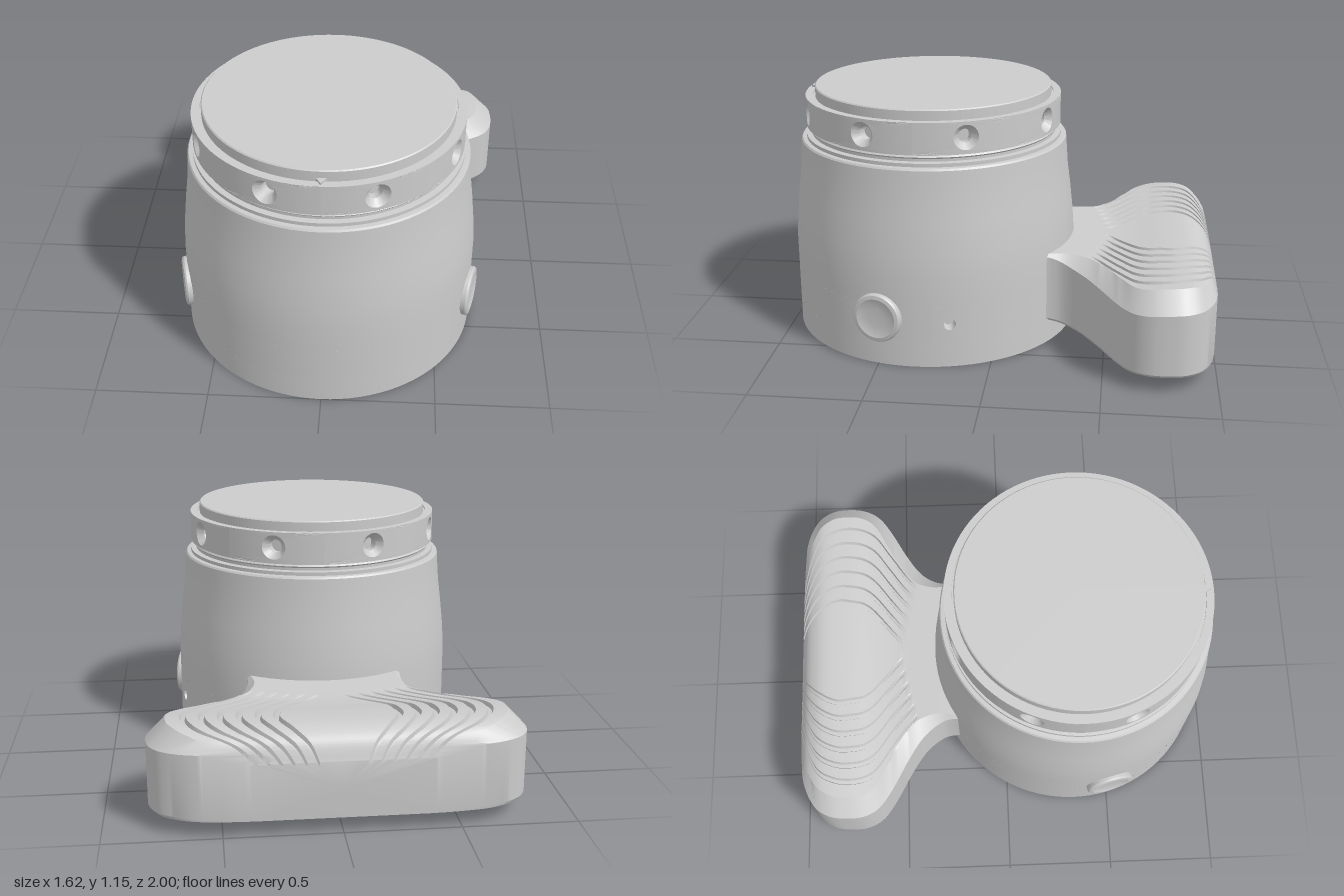
import * as THREE from 'three';
import { toCreasedNormals } from 'three/addons/utils/BufferGeometryUtils.js';

const material = new THREE.MeshStandardMaterial({ color: 0xcccccc });
const V2 = (p) => new THREE.Vector2(p[0], p[1]);

function part(name, geometry, parent, crease = 0.5) {
  const mesh = new THREE.Mesh(toCreasedNormals(geometry, crease), material);
  mesh.name = name;
  parent.add(mesh);
  return mesh;
}

function indexed(positions, index) {
  const g = new THREE.BufferGeometry();
  g.setAttribute('position', new THREE.Float32BufferAttribute(positions, 3));
  g.setIndex(index);
  return g;
}

const lathe = (points, segments = 96, start = 0, length = Math.PI * 2) =>
  new THREE.LatheGeometry(points.map(V2), segments, start, length);

// Curved wall patch with a bore: loops run from the rectangle to the hole, then inward.
function boredPatch(R, phi, y, halfAngle, halfHeight, bore) {
  const n = 10, K = 4 * n, pos = [], idx = [];
  const blends = [0, 0.25, 0.5, 0.75].map((t) => [t, bore[0][0], 0]);
  const loops = [...blends, ...bore.map(([r, d]) => [1, r, d])];
  for (const [t, r, depth] of loops) {
    for (let k = 0; k < K; k++) {
      const q = Math.floor(k / n), p = (2 * (k % n)) / n - 1;
      const [sx, sy] = [[1, p], [-p, 1], [-1, -p], [p, -1]][q];
      const a = (q * Math.PI) / 2 + (p * Math.PI) / 4;
      const s = THREE.MathUtils.lerp(sx * halfAngle * R, r * Math.cos(a), t);
      const h = THREE.MathUtils.lerp(sy * halfHeight, r * Math.sin(a), t);
      const ang = phi + s / R, rad = R - depth;
      pos.push(rad * Math.sin(ang), y + h, rad * Math.cos(ang));
    }
  }
  for (let l = 0; l < loops.length - 1; l++) {
    for (let k = 0; k < K; k++) {
      const a = l * K + k, b = l * K + ((k + 1) % K);
      idx.push(a, b, b + K, a, b + K, a + K);
    }
  }
  // Floor of the bore
  const last = (loops.length - 1) * K, rad = R - bore[bore.length - 1][1];
  pos.push(rad * Math.sin(phi), y, rad * Math.cos(phi));
  for (let k = 0; k < K; k++) idx.push(last + k, last + ((k + 1) % K), loops.length * K);
  return indexed(pos, idx);
}

// Smooth lookup of a value along falling z, from a few [z, value] points.
function along(points) {
  const c = new THREE.SplineCurve(points.map(V2)).getPoints(120);
  return (z) => {
    if (z >= c[0].x) return c[0].y;
    for (let i = 1; i < c.length; i++) {
      if (z >= c[i].x) {
        const t = (z - c[i - 1].x) / (c[i].x - c[i - 1].x || 1);
        return THREE.MathUtils.lerp(c[i - 1].y, c[i].y, t);
      }
    }
    return c[c.length - 1].y;
  };
}

// Flared handle: one closed cross-section per z, with columns following the grip grooves.
function handleGeometry() {
  const outline = new THREE.SplineCurve([
    [0.37, -0.15], [0.355, -0.25], [0.37, -0.32], [0.43, -0.4], [0.53, -0.47], [0.68, -0.555],
    [0.765, -0.62], [0.805, -0.7], [0.808, -0.8], [0.79, -0.87], [0.74, -0.93], [0.64, -0.975],
    [0.5, -0.994], [0.38, -1]].map(V2));
  const crown = along([[-0.15, 0.44], [-0.3, 0.435], [-0.5, 0.425], [-0.62, 0.43], [-0.75, 0.447],
    [-0.86, 0.45], [-0.92, 0.435], [-0.97, 0.395], [-1, 0.32]]);
  const edge = along([[-0.15, 0.43], [-0.25, 0.42], [-0.4, 0.37], [-0.6, 0.35], [-0.8, 0.362], [-1, 0.365]]);
  const floor = along([[-0.15, 0.12], [-0.25, 0.105], [-0.4, 0.075], [-0.5, 0.07], [-1, 0.07]]);
  const inner = along([[-0.44, 0.025], [-0.5, 0.05], [-0.65, 0.22], [-0.75, 0.255], [-0.83, 0.255],
    [-0.92, 0.2], [-1, 0.11]]);
  const outer = along([[-0.3, 0.29], [-0.43, 0.34], [-0.55, 0.5], [-0.63, 0.61], [-0.72, 0.65],
    [-0.83, 0.64], [-0.92, 0.57], [-1, 0.36]]);
  const rows = 150, pos = [], idx = [];
  let N = 0;
  for (let j = 0; j <= rows; j++) {
    const { x: w, y: z } = outline.getPointAt(j / rows);
    const slope = 1.05 * Math.max(0.15, Math.abs(outline.getTangentAt(j / rows).y));
    const top = crown(z), rim = Math.min(edge(z), top), low = floor(z);
    const height = (x) => Math.min(top, rim + (w - x) * slope);
    const side = [];
    const a = inner(z), gap = (outer(z) - a) / 5, h = 0.19 * gap;
    for (let i = 0; i < 6; i++) {
      const x = a + i * gap;
      const depth = 0.018 * THREE.MathUtils.clamp((-0.49 + 0.014 * i - z) / 0.1, 0, 1);
      for (const [o, d] of [[-h, 0], [-h * 0.6, depth], [h * 0.6, depth], [h, 0]]) {
        side.push([x + o, height(x + o) - d]);
      }
    }
    const end = side[side.length - 1][0];
    const bevel = Math.max(end + (w - end) * 0.1, w - (top - rim) / slope);
    side.push([bevel, height(bevel)], [w, rim], [w, low + 0.015], [w - 0.015, low]);
    const ring = [...side.map(([x, y]) => [-x, y]).reverse(), [0, top], ...side];
    N = ring.length;
    for (const [x, y] of ring) pos.push(x, y, z);
  }
  for (let j = 0; j < rows; j++) {
    for (let i = 0; i < N; i++) {
      const p = j * N + i, q = j * N + ((i + 1) % N);
      idx.push(p, q, q + N, p, q + N, p + N);
    }
  }
  // Flat rear end
  pos.push(0, 0.2, -1);
  for (let i = 0; i < N; i++) idx.push((rows + 1) * N, rows * N + i, rows * N + ((i + 1) % N));
  return indexed(pos, idx);
}

export function createModel() {
  const model = new THREE.Group();
  model.name = 'roundHousingWithHandle';
  const housing = new THREE.Group();
  housing.name = 'housing';
  housing.position.z = 0.333;
  model.add(housing);

  // Barrel: bottom rim, drilled band and tapered shell with stepped neck
  const R = 0.667, pinAngle = 1.81, pinHalf = 0.12;
  part('bottomRim', lathe([[0.64, 0.1], [0.64, 0], [R, 0], [R, 0.12]]), housing);
  part('lowerBand', lathe([[R, 0.12], [R, 0.29]], 96, pinAngle + pinHalf, Math.PI * 2 - 2 * pinHalf), housing);
  part('pinHole', boredPatch(R, pinAngle, 0.205, pinHalf, 0.085, [[0.027, 0], [0.027, 0.06]]), housing);
  part('barrel', lathe([[R, 0.29], [R, 0.42], [0.66, 0.53], [0.646, 0.66], [0.633, 0.76], [0.625, 0.87],
    [0.623, 0.9], [0.617, 0.908], [0.598, 0.91], [0.598, 0.926], [0.572, 0.928], [0.572, 0.94],
    [0.578, 0.947], [0.572, 0.954], [0.572, 0.965], [0.595, 0.965]]), housing);

  // Collar with eight countersunk holes
  for (let i = 0; i < 8; i++) {
    part('collarSegment', boredPatch(0.595, ((i + 0.5) * Math.PI) / 4, 1.035, Math.PI / 8, 0.07,
      [[0.056, 0], [0.031, 0.03], [0.031, 0.065]]), housing);
  }
  part('topDisc', lathe([[0.595, 1.105], [0.56, 1.105], [0.56, 1.098], [0.55, 1.098], [0.55, 1.145],
    [0.545, 1.15], [0, 1.15]]), housing);
  const marker = part('alignmentMark', new THREE.CylinderGeometry(0.025, 0.025, 0.02, 3), housing);
  marker.position.set(0, 1.105, 0.56);

  // Side buttons with a dished face
  for (const s of [1, -1]) {
    const button = part('sideButton', lathe([[0.114, 0], [0.114, 0.034], [0.108, 0.042], [0.092, 0.045],
      [0.072, 0.038], [0.04, 0.036], [0, 0.035]], 48), housing);
    const a = s * 1.32;
    button.position.set(0.645 * Math.sin(a), 0.225, 0.645 * Math.cos(a));
    button.rotation.set(Math.PI / 2, 0, -a, 'YXZ');
    button.rotation.set(Math.PI / 2, a, 0, 'YXZ');
  }

  // Underside: recessed plate with two openings, and screw bosses
  const plate = new THREE.Shape().absarc(0, 0, 0.642, 0, Math.PI * 2);
  for (const [x, z, w, d] of [[0, -0.47, 0.5, 0.2], [0.28, -0.04, 0.2, 0.1]]) {
    plate.holes.push(new THREE.Path([[-1, -1], [-1, 1], [1, 1], [1, -1]].map(
      ([i, j]) => new THREE.Vector2(x + (i * w) / 2, z + (j * d) / 2))));
  }
  const plateGeometry = new THREE.ExtrudeGeometry(plate, { depth: 0.025, bevelEnabled: false, curveSegments: 48 });
  plateGeometry.rotateX(Math.PI / 2).translate(0, 0.06, 0);
  part('basePlate', plateGeometry, housing);
  part('innerFloor', new THREE.CylinderGeometry(0.642, 0.642, 0.01, 64).translate(0, 0.1, 0), housing);
  for (const s of [1, -1]) {
    for (const [x, z] of [[0.36, -0.48], [0.55, -0.12], [0.46, 0.34]]) {
      const boss = part('screwBoss', lathe([[0.018, 0.04], [0.018, 0.012], [0.03, 0.012],
        [0.045, 0.015], [0.05, 0.04]].map(([r, y]) => [r, y]), 24), housing);
      boss.position.set(s * x, 0, z);
    }
  }

  // Rear handle with grip grooves
  part('handle', handleGeometry(), model, 0.4);
  return model;
}
